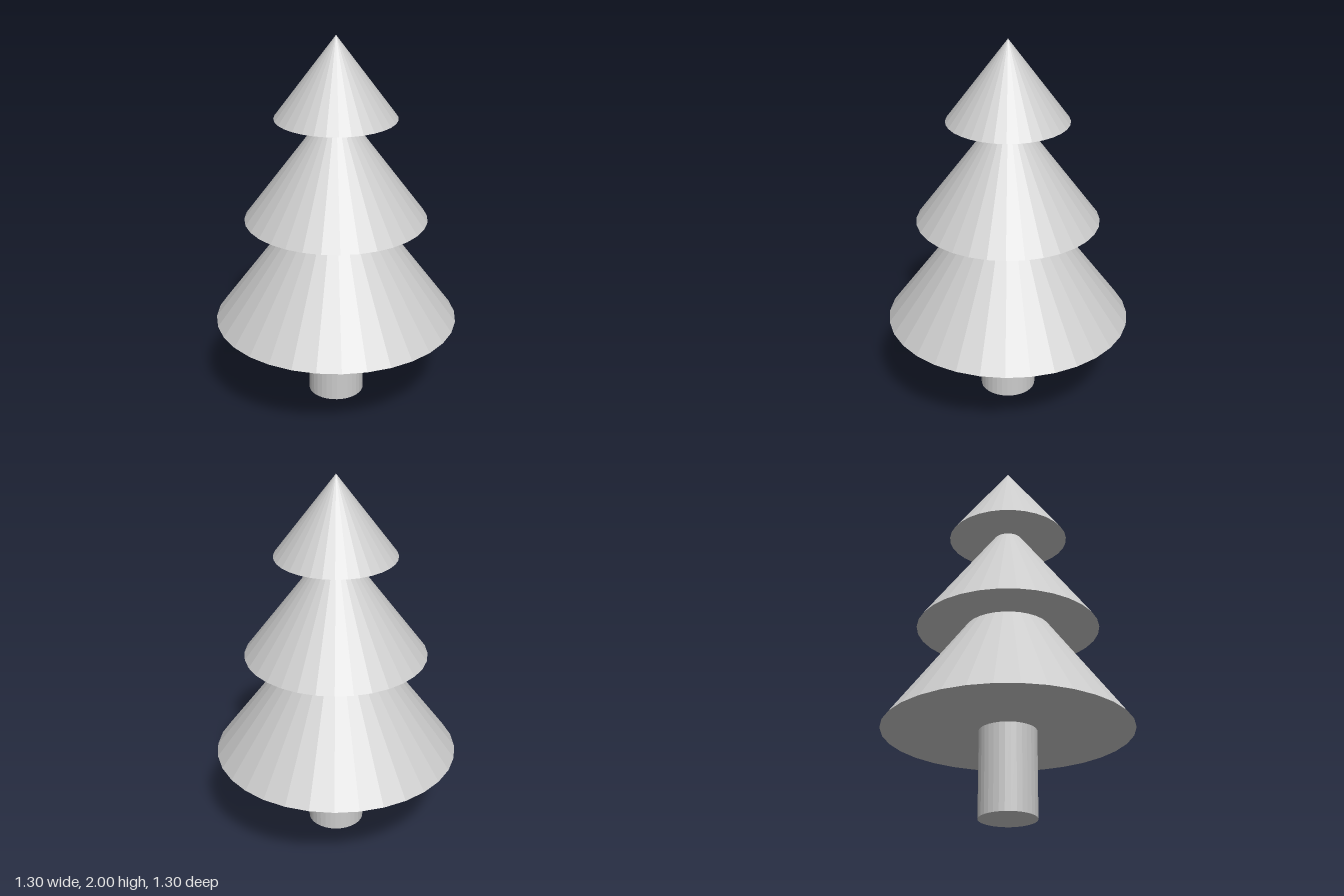
import * as THREE from 'three';

const SIDES = 32;

export function createModel() {
  const tree = new THREE.Group();
  tree.name = 'pineTree';
  const material = new THREE.MeshStandardMaterial({ color: 0xcccccc, flatShading: true });

  function add(name, geometry, baseY, height) {
    const mesh = new THREE.Mesh(geometry, material);
    mesh.name = name;
    mesh.position.y = baseY + height / 2;
    tree.add(mesh);
  }

  // Trunk, ending at the underside of the lowest branches
  add('trunk', new THREE.CylinderGeometry(0.15, 0.15, 0.455, SIDES), 0, 0.455);

  // Three overlapping cones of foliage: name, radius, height, base level
  const tiers = [
    ['lowerFoliage', 0.65, 0.874, 0.455],
    ['middleFoliage', 0.483, 0.649, 1.024],
    ['upperFoliage', 0.319, 0.428, 1.572],
  ];
  for (const [name, radius, height, baseY] of tiers) {
    add(name, new THREE.ConeGeometry(radius, height, SIDES), baseY, height);
  }
  return tree;
}
